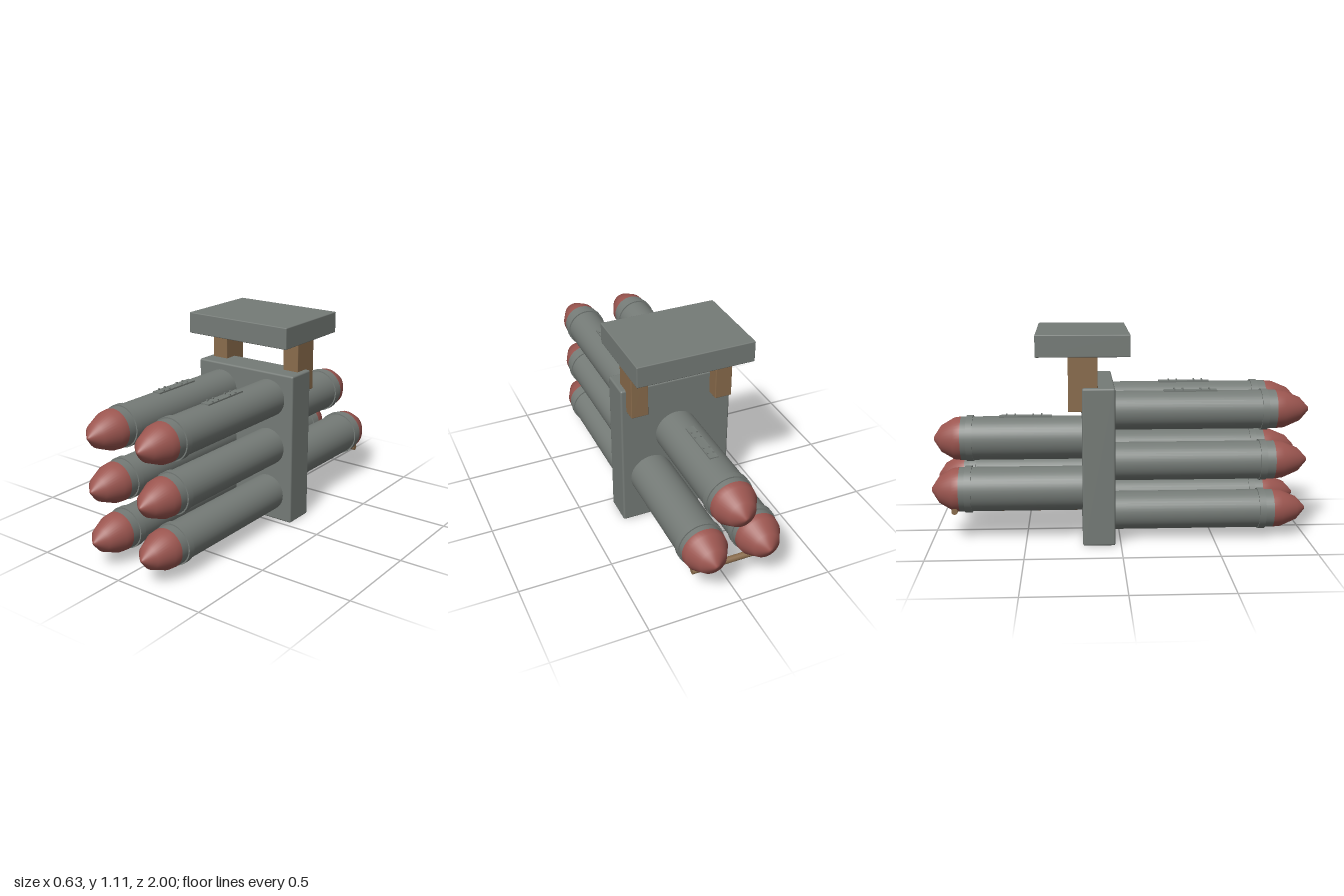
import * as THREE from 'three';
import { RoundedBoxGeometry } from 'three/addons/geometries/RoundedBoxGeometry.js';

const material = (name, color) => {
  const m = new THREE.MeshStandardMaterial({ color });
  m.name = name;
  return m;
};

export function createModel() {
  const grey = material('gunmetal grey', 0x757b77);
  const red = material('dull red', 0x9c5650);
  const wood = material('brown wood', 0x8a6c4c);
  const model = new THREE.Group();
  model.name = 'rocketRack';

  const add = (parent, name, geometry, mat, x = 0, y = 0, z = 0) => {
    const mesh = new THREE.Mesh(geometry, mat);
    mesh.name = name;
    mesh.position.set(x, y, z);
    parent.add(mesh);
    return mesh;
  };
  const box = (parent, name, w, h, d, mat, x, y, z, bevel = 0.008) =>
    add(parent, name, new RoundedBoxGeometry(w, h, d, 2, bevel), mat, x, y, z);
  // cylinder lying along z
  const tubeZ = (r, z0, z1, sides = 40) =>
    new THREE.CylinderGeometry(r, r, Math.abs(z1 - z0), sides)
      .rotateX(Math.PI / 2).translate(0, 0, (z0 + z1) / 2);

  // One rocket along z; dir is +1 for front and -1 for rear
  function rocket(name, x, y, dir, s, rail) {
    const g = new THREE.Group();
    g.name = name;
    g.position.set(x, y, 0);
    model.add(g);
    add(g, 'rocketBody', tubeZ(s.r, -0.11, dir * s.noseZ), grey);
    add(g, 'collarRing', tubeZ(s.r + 0.007, dir * s.ring[0], dir * s.ring[1]), grey);
    const len = 1 - s.noseZ;
    const profile = [[1, 0], [0.96, 0.25], [0.61, 0.72], [0.1, 0.985], [0, 1]]
      .map(([r, t]) => new THREE.Vector2(r * s.r, s.noseZ + t * len));
    add(g, 'noseCone', new THREE.LatheGeometry(profile, 40).rotateX(dir * Math.PI / 2), red);

    // Mounting rail with small lugs on the upper rockets
    if (rail) {
      const mid = dir * (rail[0] + rail[1]) / 2, span = rail[1] - rail[0];
      add(g, 'railPlate', new THREE.BoxGeometry(0.046, 0.012, span), grey, 0, s.r - 0.001, mid);
      for (const sx of [-1, 1]) {
        for (const t of [-0.3, -0.14, 0.2, 0.36]) {
          add(g, 'railLug', new THREE.BoxGeometry(0.008, 0.01, 0.008), grey,
            sx * 0.016, s.r + 0.007, mid + dir * t * span);
        }
      }
    }
  }

  // Central backing plate and overhead mounting plate
  box(model, 'backPlate', 0.62, 0.835, 0.17, grey, 0, 0.4175, -0.115, 0.01);
  box(model, 'topPlate', 0.632, 0.114, 0.482, grey, 0, 1.053, -0.195, 0.005);

  // Wooden posts holding the top plate
  for (const side of [-1, 1]) {
    box(model, 'supportPost', 0.093, 0.3, 0.152, wood, side * 0.235, 0.86, -0.195, 0.004);
  }

  // Six front rockets in two columns
  const front = { r: 0.102, noseZ: 0.82, ring: [0.74, 0.775] };
  for (const x of [-0.157, 0.157]) {
    [0.15, 0.42, 0.695].forEach((y, row) =>
      rocket('frontRocket', x, y, 1, front, row === 2 ? [0.23, 0.51] : null));
  }

  // Three rear rockets in a triangle
  const rear = { r: 0.118, noseZ: 0.85, ring: [0.785, 0.82] };
  rocket('rearRocket', 0, 0.518, -1, rear, [0.36, 0.645]);
  for (const side of [-1, 1]) {
    rocket('rearRocket', side * 0.145, 0.273, -1, rear, null);
    // Wooden rod running under each lower rear rocket
    add(model, 'lowerRod', tubeZ(0.012, -0.15, -0.875, 16), wood, side * 0.145, 0.162, 0);
  }

  // Wooden crossbar joining the rods
  const bar = new THREE.CylinderGeometry(0.017, 0.017, 0.44, 20).rotateZ(Math.PI / 2);
  add(model, 'crossbar', bar, wood, 0, 0.17, -0.875);

  return model;
}
